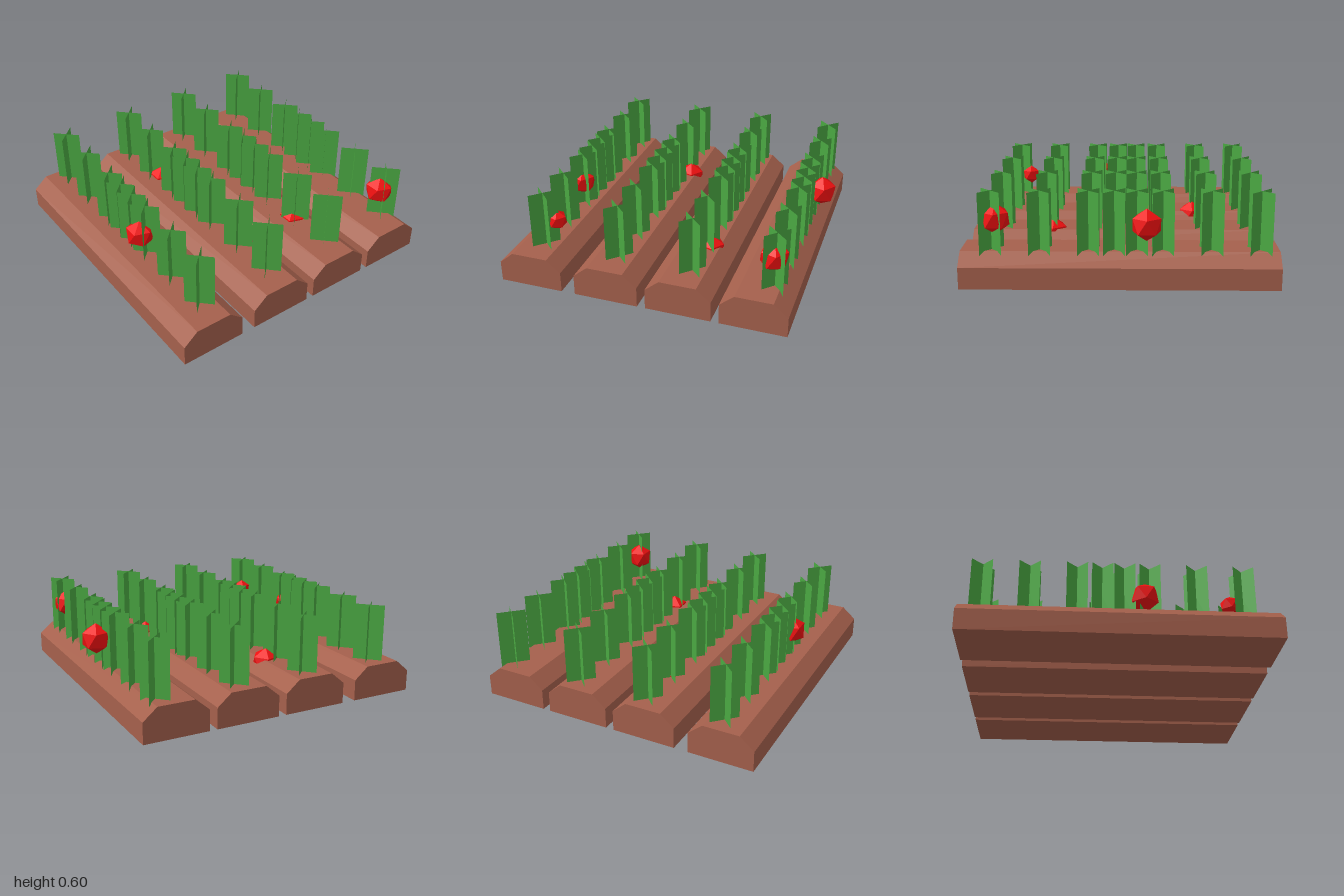
import * as THREE from 'three';

const soil = new THREE.MeshStandardMaterial({ color: 0xa5604c, flatShading: true });
const leaf = new THREE.MeshStandardMaterial({ color: 0x4aa842, flatShading: true, side: THREE.DoubleSide });
const fruit = new THREE.MeshStandardMaterial({ color: 0xf01010, flatShading: true });

function addMesh(parent, geometry, material, name, x, y, z) {
  const mesh = new THREE.Mesh(geometry, material);
  mesh.name = name;
  mesh.position.set(x, y, z);
  parent.add(mesh);
  return mesh;
}

// Raised bed: bevelled cross-section extruded along z, left edge at x = 0
function bedGeometry() {
  const profile = [[0, 0], [0.435, 0], [0.435, 0.14], [0.34, 0.22], [0.095, 0.22], [0, 0.14]];
  const shape = new THREE.Shape(profile.map(([x, y]) => new THREE.Vector2(x, y)));
  return new THREE.ExtrudeGeometry(shape, { depth: 2, bevelEnabled: false });
}

// Plant: two upright leaf cards crossing at right angles
function makePlant(card) {
  const plant = new THREE.Group();
  plant.name = 'plant';
  for (const angle of [Math.PI / 4, -Math.PI / 4]) {
    addMesh(plant, card, leaf, 'leafCard', 0, 0.395, 0).rotation.y = angle;
  }
  return plant;
}

export function createModel() {
  const model = new THREE.Group();
  model.name = 'vegetablePatch';

  // Beds: left edge and plant line of each
  const beds = [[-1, -0.752], [-0.47, -0.226], [0.02, 0.275], [0.508, 0.807]];
  // Two overlapping runs of four plants per bed
  const plantZ = [0.805, 0.035].flatMap(start => [0, 1, 2, 3].map(i => start - i * 0.304));
  const bed = bedGeometry();
  const card = new THREE.PlaneGeometry(0.192, 0.41);

  for (const [edge, lineX] of beds) {
    const row = new THREE.Group();
    row.name = 'plantedRow';
    addMesh(row, bed, soil, 'soilBed', edge, 0, -1);
    for (const z of plantZ) {
      const plant = makePlant(card);
      plant.position.set(lineX, 0, z);
      row.add(plant);
    }
    model.add(row);
  }

  // Fruits: low-poly balls with one corner straight up; x, y, z, radius
  const ball = new THREE.IcosahedronGeometry(1, 0);
  ball.rotateZ(-Math.atan(2 / (1 + Math.sqrt(5))));
  const fruits = [
    [-0.78, 0.37, 0.165, 0.1], [-0.70, 0.37, 0.73, 0.07],
    [-0.175, 0.185, -0.515, 0.1], [0.29, 0.185, 0.46, 0.1],
    [0.79, 0.415, 0.78, 0.1], [0.905, 0.41, -0.165, 0.103],
  ];
  for (const [x, y, z, r] of fruits) {
    addMesh(model, ball, fruit, 'fruit', x, y, z).scale.setScalar(r);
  }
  return model;
}
